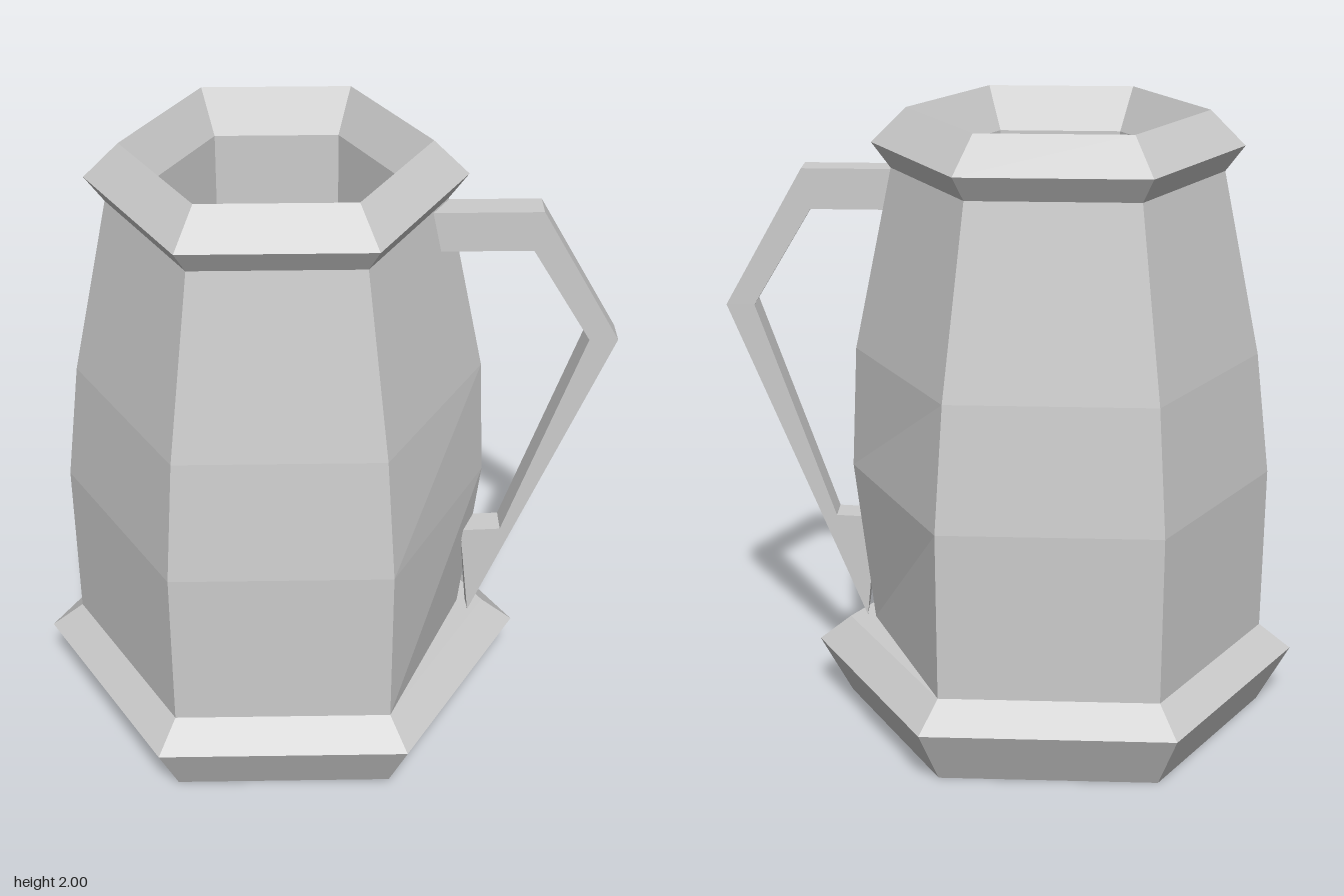
import * as THREE from 'three';

const SIDES = 6;
const AXIS_X = -0.137;
const material = new THREE.MeshStandardMaterial({ color: 0xcccccc, flatShading: true });

// Hexagonal loft; each ring is [radius, height, inward pull of the handle-side corner].
function hexLoft(name, rings) {
  const positions = [];
  const index = [];
  for (const [r, y, pull = 0] of rings) {
    for (let k = 0; k < SIDES; k++) {
      const a = (k / SIDES) * Math.PI * 2;
      positions.push(r * Math.cos(a) - (k === 0 ? pull : 0), y, r * Math.sin(a));
    }
  }
  for (let i = 0; i < rings.length - 1; i++) {
    for (let k = 0; k < SIDES; k++) {
      const a = i * SIDES + k;
      const b = i * SIDES + ((k + 1) % SIDES);
      if (rings[i][0] > 0) index.push(a, a + SIDES, b);
      if (rings[i + 1][0] > 0) index.push(b, a + SIDES, b + SIDES);
    }
  }
  const geometry = new THREE.BufferGeometry();
  geometry.setAttribute('position', new THREE.Float32BufferAttribute(positions, 3));
  geometry.setIndex(index);
  geometry.computeVertexNormals();
  const mesh = new THREE.Mesh(geometry, material);
  mesh.name = name;
  mesh.position.x = AXIS_X;
  return mesh;
}

// Angular handle, a flat strip standing on one side of the centre plane.
function createHandle() {
  const outline = [
    [0.325, 1.805], [0.335, 1.675], [0.64, 1.675], [0.83, 1.36], [0.585, 0.64],
    [0.455, 0.635], [0.49, 0.305], [0.92, 1.36], [0.665, 1.805],
  ];
  const shape = new THREE.Shape(outline.map(([x, y]) => new THREE.Vector2(x, y)));
  const geometry = new THREE.ExtrudeGeometry(shape, { depth: 0.092, bevelEnabled: false });
  // The lower tip reaches a little further down on its back side.
  const p = geometry.attributes.position;
  for (let i = 0; i < p.count; i++) {
    if (p.getY(i) < 0.31 && p.getZ(i) < 0.01) p.setY(i, 0.28);
  }
  geometry.computeVertexNormals();
  const mesh = new THREE.Mesh(geometry, material);
  mesh.name = 'handle';
  return mesh;
}

export function createModel() {
  const group = new THREE.Group();
  group.name = 'tankard';
  group.add(
    // Flared foot, closed below and forming the inner floor above
    hexLoft('base', [[0, 0], [0.685, 0], [0.79, 0.19], [0.685, 0.275], [0, 0.275]]),
    // Tapering outer wall, dented behind the lower end of the handle
    hexLoft('wall', [[0.685, 0.275, 0.085], [0.69, 0.82, 0.028], [0.643, 1.22], [0.52, 1.81]]),
    // Bevelled lip
    hexLoft('rim', [[0.52, 1.81], [0.58, 1.89], [0.47, 2], [0.39, 1.865]]),
    // Inner wall
    hexLoft('lining', [[0.39, 1.865], [0.39, 0.275]]),
    createHandle(),
  );
  return group;
}
